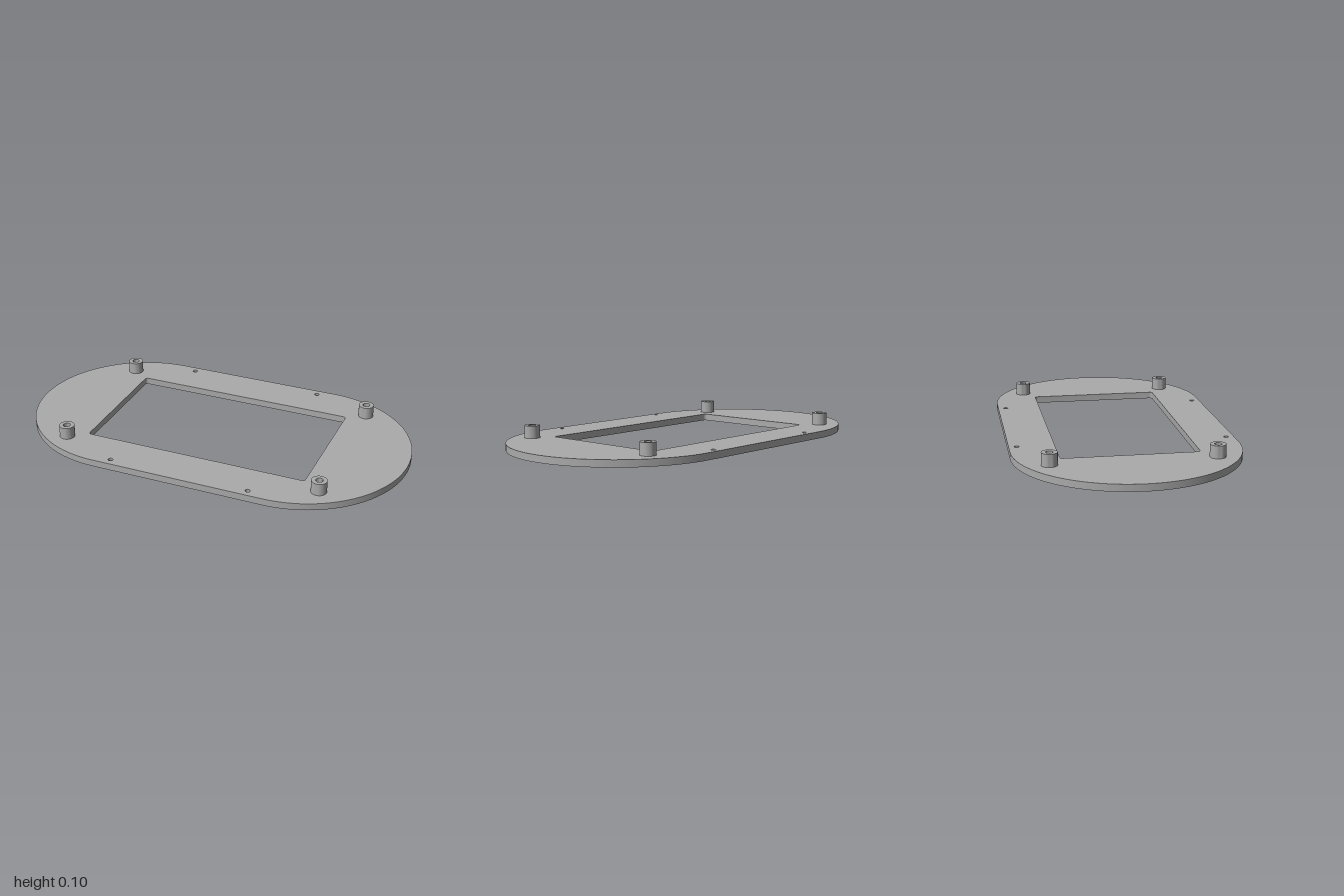
import * as THREE from 'three';
import { toCreasedNormals } from 'three/addons/utils/BufferGeometryUtils.js';

const THICK = 0.035, TOP = 0.097;   // plate thickness, standoff height
const HOLE_R = 0.012, HOLE_FLOOR = 0.01;
const pegSpots = [], holeSpots = [];
for (const sx of [-1, 1]) for (const sz of [-1, 1]) {
  pegSpots.push([sx * 0.67, sz * 0.393]);
  holeSpots.push([sx * 0.361, sz * 0.516]);
}

// Counterclockwise rounded rectangle outline
function roundedRect(w, d, r, steps) {
  const pts = [];
  const corners = [[1, 1], [-1, 1], [-1, -1], [1, -1]];
  corners.forEach(([sx, sy], i) => {
    for (let k = 0; k <= steps; k++) {
      const a = (i + k / steps) * Math.PI / 2;
      const p = new THREE.Vector2(sx * (w - r) + r * Math.cos(a), sy * (d - r) + r * Math.sin(a));
      if (!pts.length || pts[pts.length - 1].distanceTo(p) > 1e-5) pts.push(p);
    }
  });
  if (pts[0].distanceTo(pts[pts.length - 1]) < 1e-5) pts.pop();
  return pts;
}

// Upright wall along a closed outline; a clockwise outline faces inward
function wall(pts, y0, y1) {
  const pos = [];
  pts.forEach((a, i) => {
    const b = pts[(i + 1) % pts.length];
    const a0 = [a.x, y0, -a.y], b0 = [b.x, y0, -b.y], b1 = [b.x, y1, -b.y], a1 = [a.x, y1, -a.y];
    pos.push(...a0, ...b0, ...b1, ...a0, ...b1, ...a1);
  });
  const g = new THREE.BufferGeometry();
  g.setAttribute('position', new THREE.Float32BufferAttribute(pos, 3));
  g.computeVertexNormals();
  return toCreasedNormals(g, 0.6);
}

function lathe(profile, segments) {
  const pts = profile.map(([r, y]) => new THREE.Vector2(r, y));
  return toCreasedNormals(new THREE.LatheGeometry(pts, segments), 0.6);
}

export function createModel() {
  const grey = new THREE.MeshStandardMaterial({ color: 0xaaaaaa });
  grey.name = 'grey';
  const model = new THREE.Group();
  model.name = 'mountingBezel';
  const add = (name, geometry, x = 0, y = 0, z = 0) => {
    const mesh = new THREE.Mesh(geometry, grey);
    mesh.name = name;
    mesh.position.set(x, y, z);
    model.add(mesh);
  };

  // Plate faces: the screw holes open only upward
  const outline = roundedRect(1, 0.555, 0.555, 24);
  const opening = roundedRect(0.58, 0.334, 0.014, 5);
  const face = (withHoles) => {
    const shape = new THREE.Shape(outline);
    shape.holes.push(new THREE.Path(opening));
    if (withHoles) for (const [x, z] of holeSpots)
      shape.holes.push(new THREE.Path().absarc(x, -z, HOLE_R, 0, Math.PI * 2, true));
    return new THREE.ShapeGeometry(shape, 12);
  };
  add('plateTop', face(true).rotateX(-Math.PI / 2), 0, THICK);
  add('plateBottom', face(false).rotateX(Math.PI / 2));

  // Plate edges
  add('plateRim', wall(outline, 0, THICK));
  add('windowRim', wall([...opening].reverse(), 0, THICK));

  // Blind screw holes
  const holeGeo = lathe([[HOLE_R, THICK], [HOLE_R, HOLE_FLOOR], [0, HOLE_FLOOR]], 24);
  holeSpots.forEach(([x, z]) => add('screwHole', holeGeo, x, 0, z));

  // Hollow standoffs
  const pegGeo = lathe([[0.0385, THICK], [0.0385, TOP], [0.018, TOP], [0.018, THICK]], 32);
  pegSpots.forEach(([x, z]) => add('standoff', pegGeo, x, 0, z));

  return model;
}
